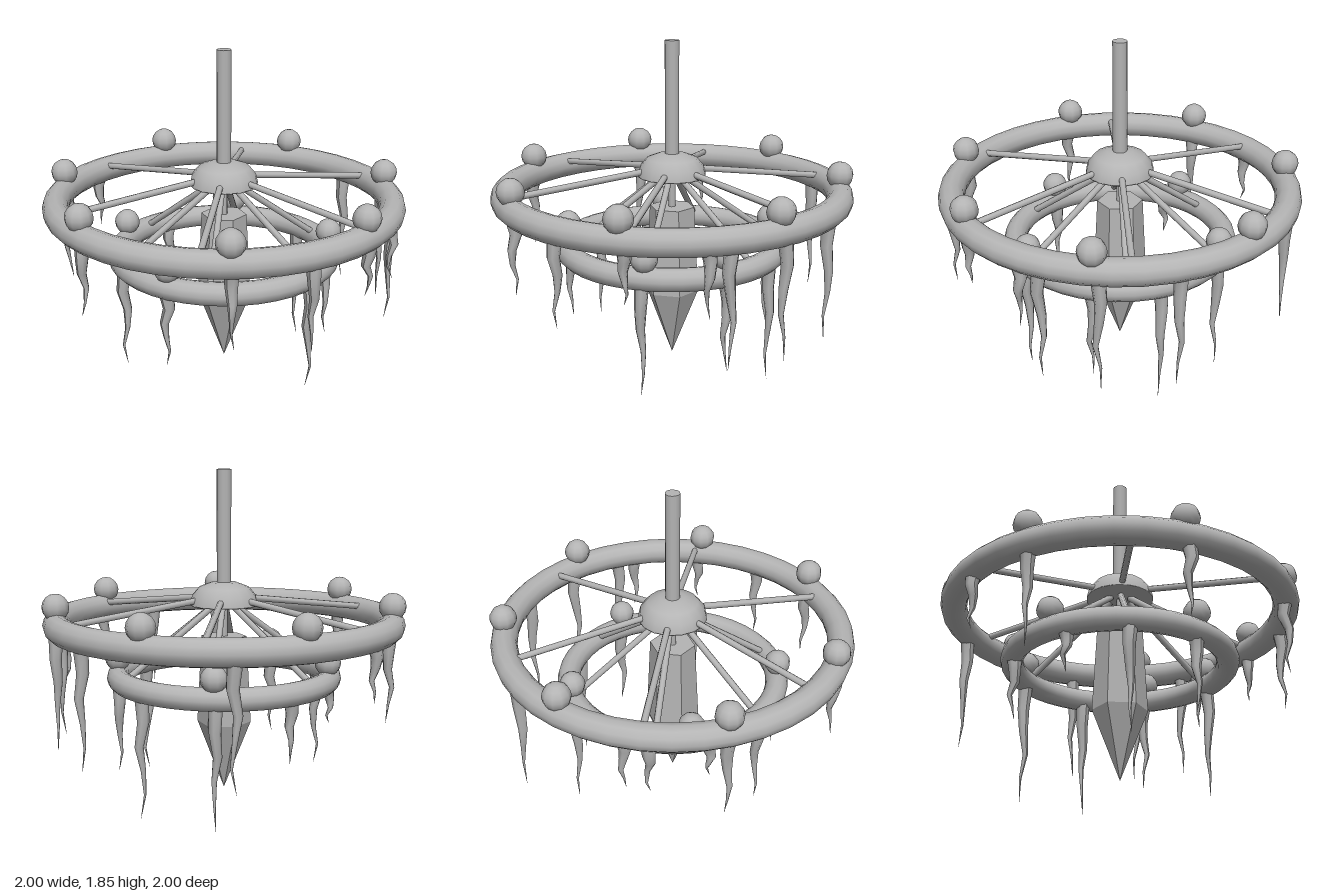
import * as THREE from 'three';

const grey = new THREE.MeshStandardMaterial({ color: 0xb4b4b4 });
grey.name = 'plain grey';

function add(parent, name, geometry) {
  const mesh = new THREE.Mesh(geometry, grey);
  mesh.name = name;
  parent.add(mesh);
  return mesh;
}

// faceted copy of a geometry
function faceted(geometry) {
  const g = geometry.toNonIndexed();
  g.computeVertexNormals();
  return g;
}

// straight round bar between two points
function bar(parent, name, a, b, radius) {
  const dir = b.clone().sub(a);
  const mesh = add(parent, name, new THREE.CylinderGeometry(radius, radius, dir.length(), 8));
  mesh.position.copy(a).add(b).multiplyScalar(0.5);
  mesh.quaternion.setFromUnitVectors(new THREE.Vector3(0, 1, 0), dir.normalize());
}

// crooked tapering icicle hanging from (x, top, z) to height tip
function icicle(parent, x, z, top, tip, seed) {
  const length = top - tip;
  const g = new THREE.CylinderGeometry(0.04, 0.001, length, 7, 5);
  const p = g.attributes.position;
  const widths = [1, 1.1, 1.15, 1.05, 1, 1];
  for (let i = 0; i < p.count; i++) {
    const t = 0.5 - p.getY(i) / length;
    const k = Math.round(t * 5);
    const bend = k === 0 ? 0 : 0.012;
    p.setX(i, p.getX(i) * widths[k] * (1 - 0.25 * t) + bend * Math.sin(seed * 2.3 + k * 2.1));
    p.setZ(i, p.getZ(i) * widths[k] * (1 - 0.25 * t) + bend * Math.cos(seed * 3.7 + k * 1.7));
  }
  g.computeVertexNormals();
  add(parent, 'icicle', g).position.set(x, (top + tip) / 2, z);
}

// ring with candle globes on top and icicles below
function tier(parent, name, o) {
  const group = new THREE.Group();
  group.name = name;
  parent.add(group);
  add(group, 'ring', new THREE.TorusGeometry(o.radius, o.tube, 12, 40).rotateX(Math.PI / 2)).position.y = o.y;
  for (const degrees of o.globes) {
    const a = THREE.MathUtils.degToRad(degrees);
    add(group, 'globe', new THREE.SphereGeometry(o.globe, 10, 8))
      .position.set(Math.cos(a) * o.radius, o.globeY, Math.sin(a) * o.radius);
  }
  o.icicles.forEach(([x, z, tip], i) => icicle(group, x, z, o.y - o.tube * 0.6, tip, i + o.radius));
}

export function createModel() {
  const model = new THREE.Group();
  model.name = 'iceChandelier';

  // ceiling stem and domed hub
  add(model, 'stem', new THREE.CylinderGeometry(0.04, 0.04, 0.69, 12)).position.y = 1.535;
  const dome = [[0, 1.135], [0.19, 1.135], [0.19, 1.14], [0.178, 1.19], [0.14, 1.235], [0.07, 1.262], [0, 1.264]];
  add(model, 'hub', new THREE.LatheGeometry(dome.map(([r, y]) => new THREE.Vector2(r, y)), 16));

  // two tiers, icicles given as x, z and tip height
  tier(model, 'upperTier', {
    radius: 0.925, tube: 0.073, y: 1.043, globe: 0.075, globeY: 1.147,
    globes: [2.4, 50.7, 104, 153.7, 208.5, 259, 312],
    icicles: [
      [-0.925, 0.03, 0.7], [-0.82, 0.41, 0.5], [-0.21, 0.9, 0.61], [0.59, 0.71, 0.59],
      [0.84, 0.39, 0.53], [0.93, 0.01, 0.72], [0.85, -0.38, 0.66], [0.79, -0.48, 0.37],
      [0.6, -0.71, 0.36], [0.24, -0.89, 0.35], [-0.59, -0.72, 0.35],
    ],
  });
  tier(model, 'lowerTier', {
    radius: 0.592, tube: 0.063, y: 0.737, globe: 0.072, globeY: 0.842,
    globes: [0.5, 82.3, 161.3, 238.7, 319.5],
    icicles: [
      [-0.31, -0.5, 0.03], [0.12, -0.57, 0.03], [0.59, 0.02, 0.08], [0.44, -0.39, 0.2],
      [-0.56, -0.18, 0.36], [0.07, 0.585, 0.28], [-0.29, 0.515, 0.15], [-0.52, 0.28, 0.48],
    ],
  });

  // six spokes to each ring
  for (let i = 0; i < 6; i++) {
    const a = i * Math.PI / 3;
    const at = (r, y) => new THREE.Vector3(Math.cos(a) * r, y, Math.sin(a) * r);
    bar(model, 'upperSpoke', at(0.1, 1.175), at(0.88, 1.075), 0.018);
    bar(model, 'lowerSpoke', at(0.06, 1.135), at(0.565, 0.765), 0.018);
  }

  // hanging six-sided crystal
  const crystal = new THREE.Group();
  crystal.name = 'crystal';
  model.add(crystal);
  add(crystal, 'crystalBody', faceted(new THREE.CylinderGeometry(0.127, 0.152, 0.49, 6, 1))).position.y = 0.715;
  add(crystal, 'crystalPoint', faceted(new THREE.CylinderGeometry(0.152, 0, 0.39, 6, 1, true))).position.y = 0.275;
  add(crystal, 'crystalHanger', new THREE.CylinderGeometry(0.02, 0.02, 0.2, 8)).position.y = 1.05;

  return model;
}
